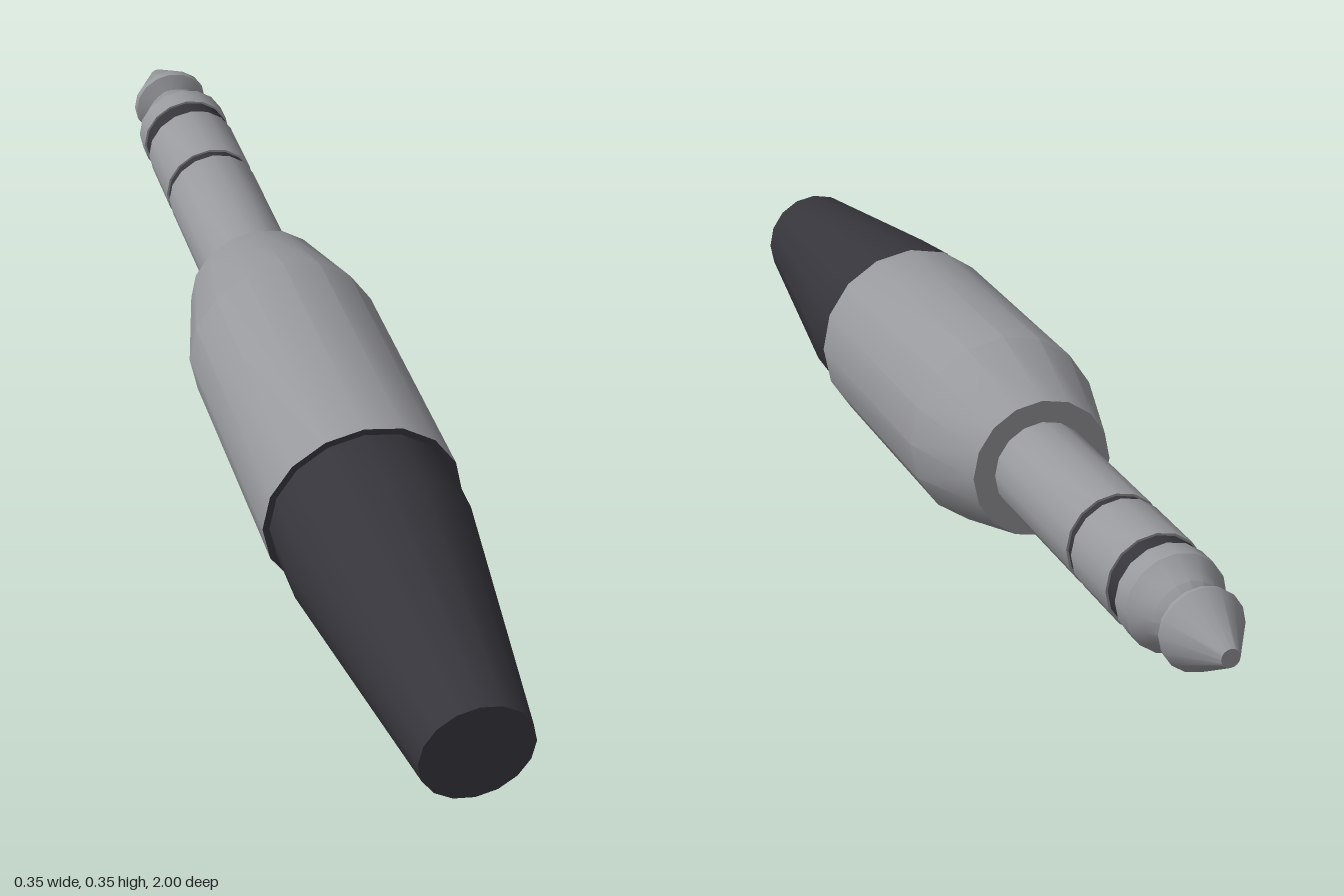
import * as THREE from 'three';
import { toCreasedNormals } from 'three/addons/utils/BufferGeometryUtils.js';

const AXIS_Y = 0.175;
const SIDES = 16;

export function createModel() {
  const metal = new THREE.MeshStandardMaterial({ color: 0x98999d });
  metal.name = 'grey metal';
  const plastic = new THREE.MeshStandardMaterial({ color: 0x36353b });
  plastic.name = 'dark plastic';

  const group = new THREE.Group();
  group.name = 'audioPlug';

  // Turned part: profile of [radius, z], listed from back (-z) to front (+z)
  function turned(name, profile, material) {
    const points = profile.map(([r, z]) => new THREE.Vector2(r, z));
    const geometry = new THREE.LatheGeometry(points, SIDES).rotateX(Math.PI / 2);
    const mesh = new THREE.Mesh(toCreasedNormals(geometry, 0.45), material);
    mesh.name = name;
    mesh.position.y = AXIS_Y;
    group.add(mesh);
  }

  // Tapered cable boot, with the flange that closes the front of the body
  turned('cableBoot', [[0.175, 0.41], [0.163, 0.41], [0.163, 0.52], [0.096, 1], [0, 1]], plastic);

  // Body barrel with a tapered shoulder
  turned('body', [[0, -0.25], [0.125, -0.25], [0.175, -0.07], [0.175, 0.41]], metal);

  // Contact shaft: sleeve and ring
  turned('sleeveContact', [[0, -0.565], [0.086, -0.565], [0.086, -0.25]], metal);
  turned('ringContact', [[0, -0.725], [0.086, -0.725], [0.086, -0.585], [0, -0.585]], metal);

  // Insulating bands, slightly recessed
  turned('frontInsulator', [[0.082, -0.585], [0.082, -0.565]], plastic);
  turned('rearInsulator', [[0.082, -0.762], [0.082, -0.725]], plastic);

  // Notched, pointed tip
  turned('tipContact', [
    [0, -1], [0.016, -1], [0.072, -0.9], [0.07, -0.89], [0.042, -0.878], [0.042, -0.868],
    [0.06, -0.85], [0.068, -0.83], [0.086, -0.803], [0.086, -0.762], [0, -0.762],
  ], metal);

  return group;
}
